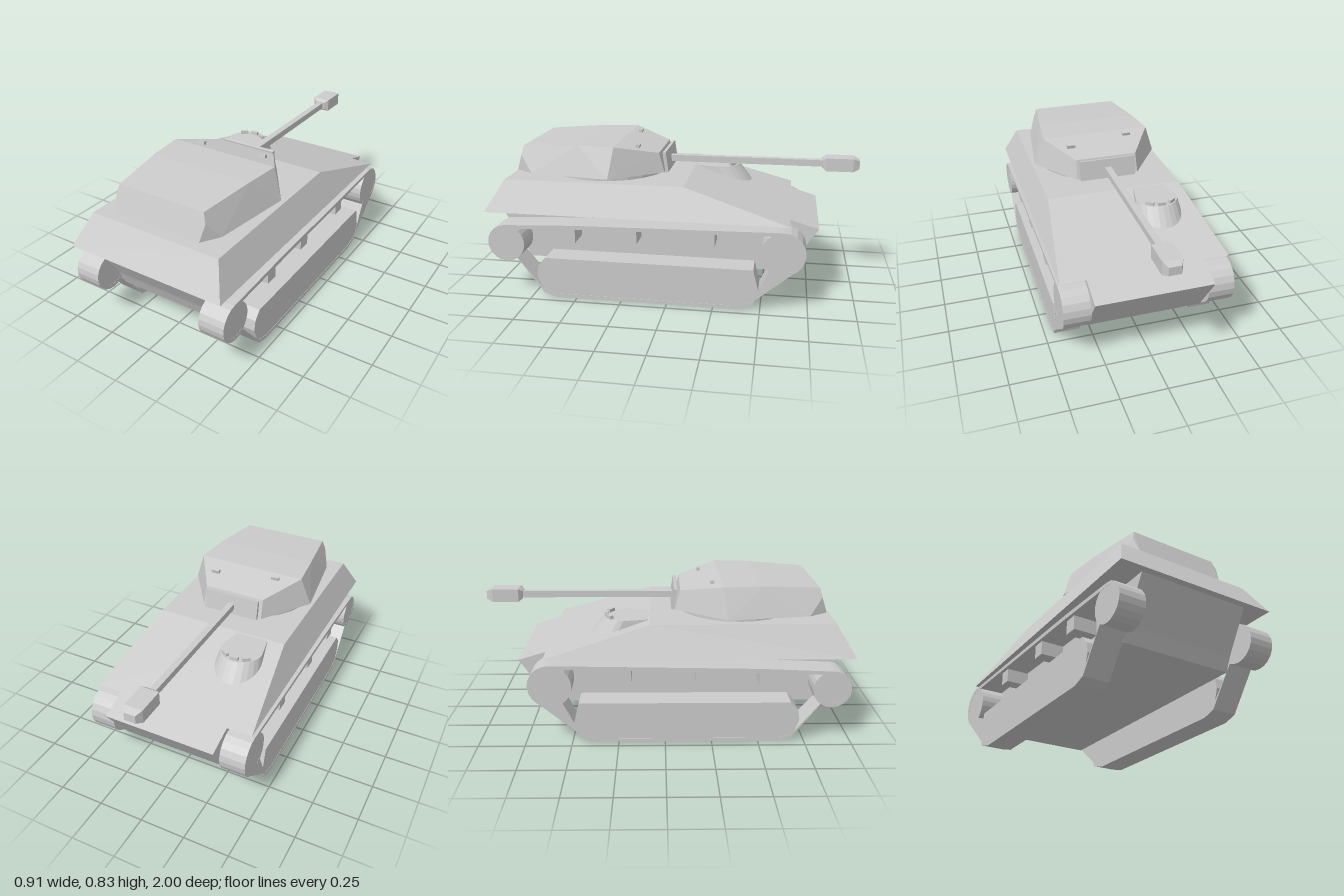
import * as THREE from 'three';
import { ConvexGeometry } from 'three/addons/geometries/ConvexGeometry.js';

const mat = new THREE.MeshStandardMaterial({ color: 0xcccccc, flatShading: true });

function add(parent, name, geometry) {
  const mesh = new THREE.Mesh(geometry, mat);
  mesh.name = name;
  parent.add(mesh);
  return mesh;
}

// Solid between x0 and x1 whose side profile is given as [z, y] points
function slab(profile, x0, x1, hole) {
  const toV = ([z, y]) => new THREE.Vector2(z, y);
  const shape = new THREE.Shape(profile.map(toV));
  if (hole) shape.holes.push(new THREE.Path(hole.map(toV)));
  const g = new THREE.ExtrudeGeometry(shape, { depth: x1 - x0, bevelEnabled: false });
  return g.rotateY(-Math.PI / 2).translate(x1, 0, 0);
}

// Convex solid mirrored across x = 0 from the points of one half
function mirroredHull(points) {
  return new ConvexGeometry(points.flatMap(([x, y, z]) => [
    new THREE.Vector3(x, y, z), new THREE.Vector3(-x, y, z)]));
}

// Points [z, y] along an arc, angles in degrees measured from +z towards +y
function arc(z, y, r, from, to, n) {
  return Array.from({ length: n + 1 }, (_, i) => {
    const a = THREE.MathUtils.degToRad(from + (to - from) * i / n);
    return [z + r * Math.cos(a), y + r * Math.sin(a)];
  });
}

function box(parent, name, size, pos, turn = 0, tilt = 0) {
  const m = add(parent, name, new THREE.BoxGeometry(...size));
  m.position.set(...pos);
  m.rotation.set(tilt, turn, 0);
  return m;
}

function createTrack(side) {
  const track = new THREE.Group();
  track.name = side > 0 ? 'leftTrack' : 'rightTrack';
  const span = (a, b) => side > 0 ? [a, b] : [-b, -a];
  const rear = [0.885, 0.305], front = [-0.61, 0.327];

  // Thin belt running round both wheels
  const loop = (t, topMid) => [
    ...arc(...rear, 0.103 - t, -125, 85, 12),
    [0.5, topMid],
    ...arc(...front, 0.118 - t, 90, 310 - 3, 12),
    [-0.46, 0.03 + t], [-0.37, 0.003 + t], [0.61, 0.003 + t], [0.68, 0.025 + t],
  ];
  add(track, 'trackBelt', slab(loop(0, 0.425), ...span(0.313, 0.455), loop(0.02, 0.402)));

  // Road wheel block
  add(track, 'roadWheelBlock', slab([
    [0.67, 0.23], [0.71, 0.185], [0.72, 0.13], [0.69, 0.045], [0.61, 0.006],
    [-0.37, 0.006], [-0.46, 0.04], [-0.49, 0.11], [-0.46, 0.23],
  ], ...span(0.313, 0.453)));

  // End wheels
  for (const [name, [z, y], r] of [['rearWheel', rear, 0.102], ['frontWheel', front, 0.116]]) {
    const g = new THREE.CylinderGeometry(r, r, 0.14, 24).rotateZ(Math.PI / 2);
    add(track, name, g).position.set(side * 0.384, y, z);
  }

  // Return roller blocks hanging under the upper run
  for (const [z, y] of [[0.535, 0.36], [0.198, 0.37], [-0.217, 0.375]])
    box(track, 'returnRoller', [0.13, 0.075, 0.073], [side * 0.375, y, z]);
  return track;
}

function createHull() {
  const hull = new THREE.Group();
  hull.name = 'hull';
  add(hull, 'upperHull', mirroredHull([
    [0.378, 0.643, 0.9], [0.378, 0.643, -0.08], [0.45, 0.475, 1], [0.45, 0.475, -0.64]]));
  add(hull, 'lowerHull', slab([
    [0.965, 0.476], [0.84, 0.27], [0.83, 0.25], [0.8, 0.182], [-0.625, 0.182],
    [-0.79, 0.425], [-0.62, 0.477]], -0.312, 0.312));

  // Driver's hood: flat top with a sloping rounded front
  const rim = (r, z, y) => arc(0, 0, r, 0, 180, 12)
    .map(([u, v]) => new THREE.Vector3(-0.195 + u, y, z - v));
  add(hull, 'driverHood', new ConvexGeometry([
    ...rim(0.115, -0.22, 0.642), ...rim(0.135, -0.275, 0.54),
    new THREE.Vector3(-0.285, 0.642, -0.09), new THREE.Vector3(-0.105, 0.642, -0.09),
    new THREE.Vector3(-0.285, 0.56, -0.09), new THREE.Vector3(-0.105, 0.56, -0.09)]));
  for (const a of [-0.62, 0, 0.62])
    box(hull, 'periscope', [0.044, 0.022, 0.02],
      [-0.195 - 0.105 * Math.sin(a), 0.649, -0.21 - 0.105 * Math.cos(a)], a);
  return hull;
}

function createTurret() {
  const turret = new THREE.Group();
  turret.name = 'turret';
  add(turret, 'turretRing', new THREE.CylinderGeometry(0.332, 0.332, 0.03, 24))
    .position.set(0, 0.654, 0.4);
  add(turret, 'turretShell', mirroredHull([
    // lower edge
    [0.18, 0.665, 0.055], [0.368, 0.662, 0.33], [0.31, 0.665, 0.77], [0.25, 0.667, 0.87],
    // kink on the rear corner
    [0.267, 0.755, 0.838],
    // roof edge
    [0.25, 0.807, 0.825], [0.292, 0.825, 0.51], [0.312, 0.825, 0.305], [0.175, 0.772, 0.085]]));
  box(turret, 'roofSight', [0.046, 0.022, 0.02], [-0.173, 0.82, 0.257], 0, -0.2);
  box(turret, 'roofSight', [0.046, 0.022, 0.02], [0.175, 0.808, 0.2], 0, -0.2);

  // Mantlet, barrel and muzzle brake
  box(turret, 'mantlet', [0.32, 0.112, 0.018], [0, 0.716, 0.052], 0, 0.14);
  box(turret, 'barrel', [0.036, 0.036, 0.87], [0, 0.708, -0.385]);
  const brake = [[-0.8, 0.6], [-0.82, 1], [-0.965, 1], [-1, 0.62]];
  add(turret, 'muzzleBrake', mirroredHull(brake.flatMap(([z, s]) =>
    [-1, 1].map(v => [0.05 * s, 0.709 + v * 0.036 * s, z]))));
  return turret;
}

export function createModel() {
  const model = new THREE.Group();
  model.name = 'trackedVehicle';
  model.add(createHull(), createTurret(), createTrack(1), createTrack(-1));
  return model;
}
